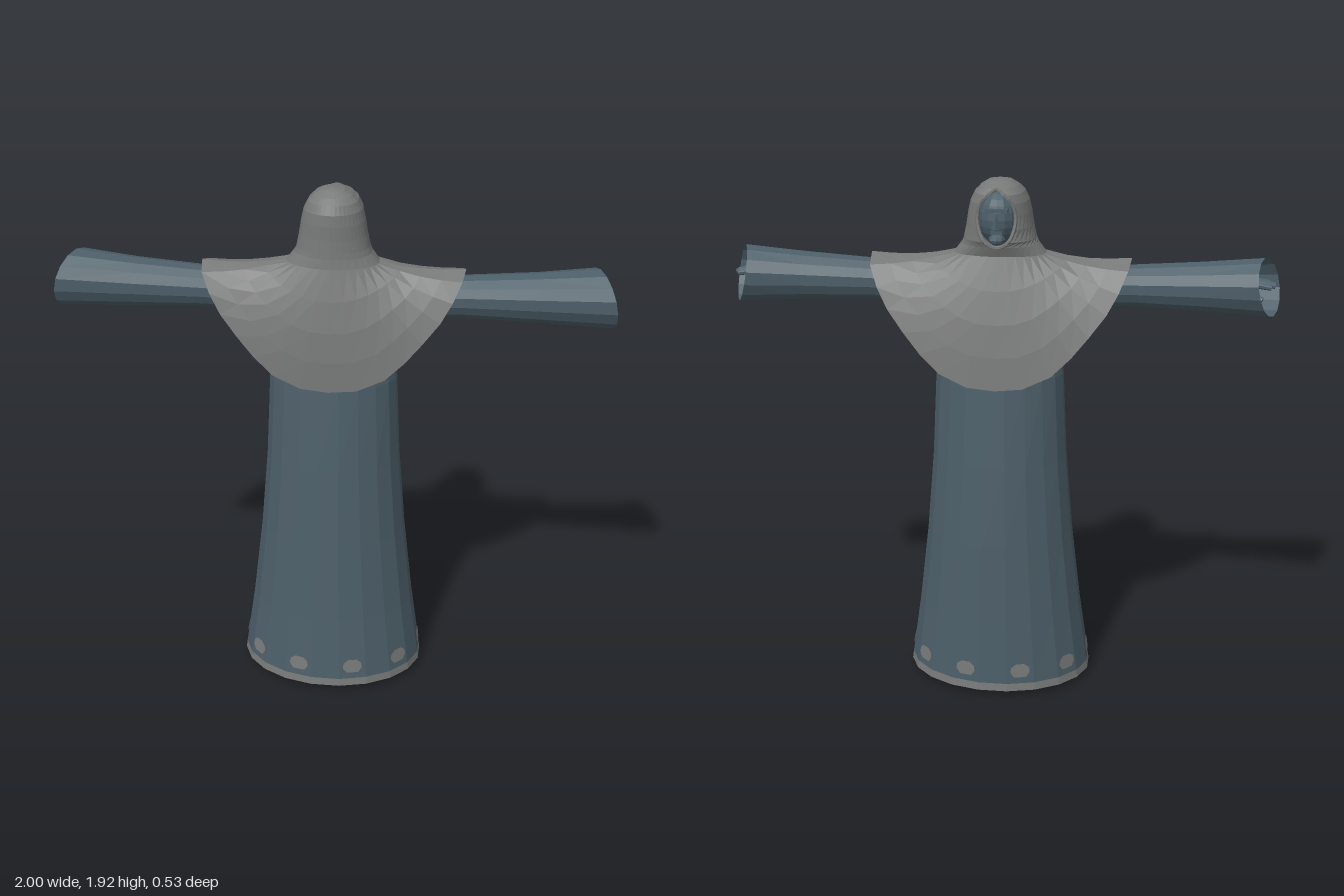
import * as THREE from 'three';

const V = (x, y, z) => new THREE.Vector3(x, y, z);
const mat = (name, color) => {
  const m = new THREE.MeshStandardMaterial({ color, flatShading: true, side: THREE.DoubleSide });
  m.name = name;
  return m;
};

// Skin a list of equally long point rows, bottom to top, each row running counter-clockwise from above
function loft(rows) {
  const n = rows[0].length, index = [];
  for (let r = 0; r < rows.length - 1; r++) {
    for (let c = 0; c < n - 1; c++) {
      const a = r * n + c, b = a + n;
      index.push(a, a + 1, b + 1, a, b + 1, b);
    }
  }
  const g = new THREE.BufferGeometry().setFromPoints(rows.flat());
  g.setIndex(index);
  g.computeVertexNormals();
  return g;
}

export function createModel() {
  const slate = mat('slate cloth', 0x4c5e68);
  const grey = mat('grey cloth', 0x787979);
  const model = new THREE.Group();
  model.name = 'hoodedFigure';
  const add = (parent, name, geometry, material, x = 0, y = 0, z = 0) => {
    const m = new THREE.Mesh(geometry, material);
    m.name = name;
    m.position.set(x, y, z);
    parent.add(m);
    return m;
  };

  // Robe: twenty-sided elliptical rings of [y, half width, z centre, half depth]
  const robe = [[0.02, 0.35, 0, 0.27], [0.05, 0.346, 0, 0.267], [0.3, 0.31, -0.008, 0.247],
    [0.6, 0.275, -0.015, 0.225], [0.9, 0.25, -0.018, 0.2], [1.22, 0.235, -0.02, 0.167],
    [1.45, 0.19, -0.015, 0.123], [1.62, 0.12, -0.005, 0.08]];
  const robePoint = ([y, rx, cz, rz], i) => {
    const a = (i + 0.5) * Math.PI / 10;
    return V(rx * Math.sin(a), y, cz + rz * Math.cos(a));
  };
  const ring = row => Array.from({ length: 21 }, (_, i) => robePoint(row, i));
  add(model, 'robe', loft(robe.slice(1).map(ring)), slate);
  add(model, 'hemTrim', loft(robe.slice(0, 2).map(ring)), grey);

  // Hem spots: thin flat-bottomed plates, one on every other panel
  const spot = new THREE.Shape([[-0.022, -0.026], [0.022, -0.026], [0.037, -0.006], [0.034, 0.014],
    [0.016, 0.028], [-0.016, 0.028], [-0.034, 0.014], [-0.037, -0.006]].map(p => new THREE.Vector2(...p)));
  const spotGeometry = new THREE.ShapeGeometry(spot);
  for (let i = 0; i < 20; i += 2) {
    const a = robePoint(robe[1], i), b = robePoint(robe[1], i + 1);
    const low = a.clone().add(b).multiplyScalar(0.5);
    const high = robePoint(robe[2], i).add(robePoint(robe[2], i + 1)).multiplyScalar(0.5);
    const across = b.sub(a).normalize();
    const up = high.clone().sub(low);
    up.addScaledVector(across, -up.dot(across)).normalize();
    const out = across.clone().cross(up);
    const s = add(model, 'hemSpot', spotGeometry, grey);
    s.quaternion.setFromRotationMatrix(new THREE.Matrix4().makeBasis(across, up, out));
    s.position.copy(low.lerp(high, 0.21)).addScaledVector(out, 0.004);
  }

  // Cape hem from the middle of one side round to the shoulder tip
  const hem = [[0, 1.215, 0.157], [0.1, 1.225, 0.157], [0.2, 1.27, 0.152], [0.27, 1.335, 0.143],
    [0.33, 1.405, 0.132], [0.39, 1.48, 0.115], [0.43, 1.55, 0.098], [0.46, 1.62, 0.07], [0.47, 1.645, 0]];
  // Hood rings of [y, half width, depth to +z, depth to -z, half width of the face opening]
  const hood = [[1.66, 0.165, 0.107, 0.113, 0], [1.695, 0.138, 0.103, 0.128, 0], [1.715, 0.13, 0.102, 0.14, 0.04],
    [1.76, 0.12, 0.1, 0.145, 0.062], [1.81, 0.112, 0.1, 0.148, 0.067], [1.85, 0.103, 0.097, 0.15, 0.056],
    [1.88, 0.088, 0.084, 0.146, 0.032], [1.9, 0.068, 0.06, 0.12, 0], [1.917, 0.04, 0.03, 0.065, 0],
    [1.923, 0, 0, 0, 0]];
  const columns = Array.from({ length: 33 }, (_, i) => i - 16);
  const hoodRows = hood.map(([y, rx, zp, zn, gap]) => {
    const open = gap ? Math.asin(gap / rx) : 0;
    return columns.map(k => {
      const a = k / 16 * (Math.PI - open), c = Math.cos(a);
      return V(rx * Math.sin(a), y, c > 0 ? zp * c : -zn * Math.abs(c) ** 0.7 - (rx ? 0 : 0.015));
    });
  });
  const capeRows = [0, 0.25, 0.5, 0.75].map(s => columns.map((k, i) => {
    const m = Math.abs(k), face = m > 8, a = k / 16 * Math.PI;
    const [x, y, z] = hem[face ? 16 - m : m];
    const edge = V(Math.sign(k) * x, y - (face ? 0.02 * Math.abs(Math.cos(a)) : 0), face ? -z * 1.33 : z);
    const p = edge.lerp(hoodRows[0][i], s), bulge = Math.sin(Math.PI * s);
    p.y -= 0.012 * bulge * Math.sin(a) ** 2;
    p.z += 0.018 * bulge * Math.cos(a);
    return p;
  }));
  add(model, 'hoodedCape', loft([...capeRows, ...hoodRows]), grey);

  // Rolled edge of the face opening
  const openRows = hoodRows.slice(2, 7);
  const rim = [hoodRows[1][0], ...openRows.map(r => r[0]), hoodRows[7][0],
    ...openRows.map(r => r[32]).reverse()];
  add(model, 'hoodRim', new THREE.TubeGeometry(new THREE.CatmullRomCurve3(rim, true), 28, 0.007, 5, true), grey);

  // Face inside the hood
  const head = add(model, 'head', new THREE.SphereGeometry(1, 16, 12), slate, 0, 1.79, -0.045);
  head.scale.set(0.076, 0.1, 0.09);
  const nose = add(model, 'nose', new THREE.ConeGeometry(0.017, 0.055, 4), slate, 0, 1.79, -0.138);
  nose.scale.z = 1.2;
  add(model, 'brow', new THREE.BoxGeometry(0.08, 0.014, 0.03), slate, 0, 1.825, -0.122);
  add(model, 'mouth', new THREE.BoxGeometry(0.04, 0.012, 0.03), slate, 0, 1.748, -0.118);
  const chin = add(model, 'chin', new THREE.SphereGeometry(0.03, 8, 6), slate, 0, 1.722, -0.115);
  chin.scale.y = 0.7;

  // One arm, leg and foot, mirrored for the other side
  for (const side of [1, -1]) {
    const half = new THREE.Group();
    half.name = side > 0 ? 'leftLimbs' : 'rightLimbs';
    half.scale.x = side;
    model.add(half);

    // Sleeve of [x, y centre, z centre, radius], its mouth cut on a slant
    const sleeve = [[0.1, 1.53, -0.005, 0.07], [0.47, 1.545, 0, 0.076], [0.72, 1.55, -0.004, 0.089],
      [0.955, 1.555, -0.012, 0.105]];
    add(half, 'sleeve', loft(sleeve.map(([x, cy, cz, r], row) => Array.from({ length: 15 }, (_, i) => {
      const a = i / 14 * Math.PI * 2, dy = r * Math.cos(a), dz = r * Math.sin(a);
      return V(x + (row === 3 ? 0.38 * dz - 0.2 * dy : 0), cy + dy, cz + dz);
    }))), slate);

    // Forearm, palm and fingers
    const limb = (name, a, b, r) => {
      const axis = b.clone().sub(a), mid = a.clone().add(b).multiplyScalar(0.5);
      const m = add(half, name, new THREE.CylinderGeometry(r * 0.8, r, axis.length(), 7), slate, mid.x, mid.y, mid.z);
      m.quaternion.setFromUnitVectors(V(0, 1, 0), axis.normalize());
    };
    limb('forearm', V(0.4, 1.55, 0), V(0.84, 1.56, 0), 0.035);
    add(half, 'palm', new THREE.BoxGeometry(0.09, 0.032, 0.09), slate, 0.86, 1.565, 0);
    for (let f = 0; f < 4; f++) {
      const z = 0.038 - f * 0.026;
      limb('finger', V(0.89, 1.57, z), V(f % 3 ? 0.975 : 0.96, 1.56, z * 1.15), 0.011);
    }
    limb('thumb', V(0.84, 1.55, -0.035), V(0.93, 1.52, -0.065), 0.013);

    // Leg and shoe under the robe
    limb('leg', V(0.13, 0.04, 0.01), V(0.12, 0.9, 0), 0.05);
    add(half, 'shoe', new THREE.BoxGeometry(0.08, 0.05, 0.15), slate, 0.13, 0.025, -0.015);
    const toe = add(half, 'toe', new THREE.CylinderGeometry(0.034, 0.04, 0.05, 10), slate, 0.13, 0.025, -0.09);
    toe.name = 'toeCap';
  }
  return model;
}
